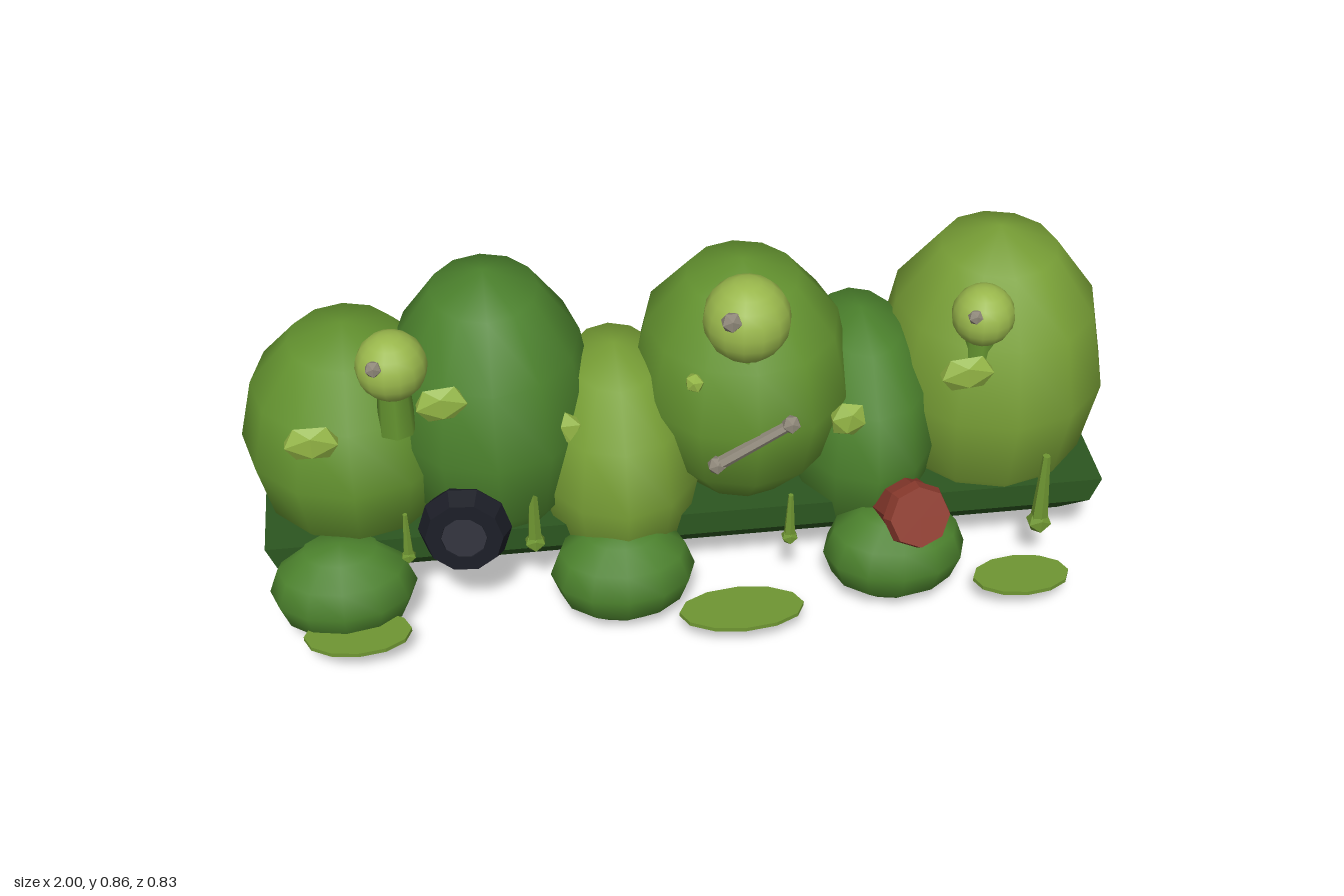
import * as THREE from 'three';

const mat = (color, flat = false) => new THREE.MeshStandardMaterial({ color, flatShading: flat, roughness: 0.9 });
const light = mat(0x789f36), mid = mat(0x63922f), dark = mat(0x4c822d), pale = mat(0x9ab84c);
const moss = mat(0x2c5620, true), lump = mat(0x93b545, true), slime = mat(0x6f9632, true);
const rubber = mat(0x1b1d26, true), hub = mat(0x32333d, true), red = mat(0x8c3b2e, true), bone = mat(0x8d8678, true);

export function createModel() {
  const root = new THREE.Group();
  const add = (name, geometry, material, x, y, z, parent = root) => {
    const m = new THREE.Mesh(geometry, material);
    m.name = name;
    m.position.set(x, y, z);
    parent.add(m);
    return m;
  };
  const blob = (name, material, [x, y, z], [rx, ry, rz]) =>
    add(name, new THREE.SphereGeometry(1, 12, 6), material, x, y, z).scale.set(rx, ry, rz);

  // Row of large body lobes
  [
    [mid, [-0.75, 0.38, -0.05], [0.25, 0.285, 0.27]],
    [dark, [-0.435, 0.45, -0.015], [0.24, 0.35, 0.275]],
    [light, [-0.155, 0.315, 0.02], [0.2, 0.29, 0.27]],
    [mid, [0.133, 0.5, 0.015], [0.252, 0.3, 0.275]],
    [dark, [0.415, 0.325, -0.03], [0.185, 0.29, 0.28]],
    [light, [0.73, 0.43, -0.05], [0.266, 0.365, 0.284]],
  ].forEach(([m, p, s]) => blob('bodyLobe', m, p, s));

  // Feet, staggered front and back
  [[-0.795, 0.205], [-0.165, 0.23], [0.462, 0.235]].forEach(([x, z]) =>
    blob('frontFoot', dark, [x, 0.125, z], [0.165, 0.122, 0.125]));
  [[-0.485, -0.26], [0.15, -0.245], [0.78, -0.26]].forEach(([x, z]) =>
    blob('backFoot', light, [x, 0.123, z], [0.165, 0.123, 0.125]));

  // Chamfered underside beam, with ends slanting inward at the bottom
  const section = new THREE.Shape([
    [0.18, 0.225], [0.18, 0.165], [0.08, 0.067], [-0.11, 0.067], [-0.15, 0.165], [-0.15, 0.225],
  ].map(([z, y]) => new THREE.Vector2(-z, y)));
  const beam = new THREE.ExtrudeGeometry(section, { depth: 1.88, bevelEnabled: false });
  beam.translate(0, 0, -0.94).rotateY(Math.PI / 2);
  const p = beam.attributes.position;
  for (let i = 0; i < p.count; i++) {
    const x = p.getX(i);
    p.setX(i, x + Math.sign(x) * (p.getY(i) - 0.17) * 0.4);
  }
  beam.computeVertexNormals();
  add('underside', beam, moss, 0, 0, 0);

  // Flat puddles on both sides
  [
    [-0.77, 0.315, 0.12, 0.07], [0.092, 0.345, 0.142, 0.07], [0.747, 0.315, 0.112, 0.065],
    [-0.31, -0.348, 0.118, 0.068], [0.492, -0.348, 0.112, 0.066],
  ].forEach(([x, z, rx, rz]) =>
    add('puddle', new THREE.CylinderGeometry(1, 1, 0.01, 12), slime, x, 0.072, z).scale.set(rx, 1, rz));

  // Round heads on short necks, each with a small bump
  [[-0.645, 0.685, 0.155, 0.078], [0.115, 0.765, 0.195, 0.096], [0.645, 0.702, 0.158, 0.07]].forEach(([x, y, z, r]) => {
    add('head', new THREE.SphereGeometry(r, 14, 10), pale, x, y, z);
    add('neck', new THREE.CylinderGeometry(r * 0.45, r * 0.55, 0.14, 7), mid, x, y - r - 0.03, z - 0.01);
    add('headBump', new THREE.IcosahedronGeometry(r * 0.25, 0), bone, x - r * 0.47, y + r * 0.45, z + r * 0.76);
  });

  // Faceted lumps on the lobes
  [
    [-0.83, 0.52, 0.19, 0.068, 0], [-0.545, 0.605, 0.2, 0.065, 0.1], [-0.28, 0.48, 0.16, 0.045, 0.5],
    [0.345, 0.48, 0.205, 0.045, -0.2], [0.607, 0.58, 0.205, 0.068, 0.1], [0, 0.62, 0.215, 0.022, 0.4],
  ].forEach(([x, y, z, r, turn]) => {
    const m = add('lump', new THREE.IcosahedronGeometry(1, 0), lump, x, y, z);
    m.scale.set(r, 0.048 * Math.min(1, r / 0.045), 0.024);
    m.rotation.z = turn;
  });

  // Hanging drips: thin taper ending in a bead
  [
    [-0.645, 0.31, 0.19, 0.2, 0.018], [-0.36, 0.4, 0.205, 0.205, 0.025],
    [0.215, 0.31, 0.19, 0.245, 0.02], [0.803, 0.35, 0.16, 0.232, 0.03],
  ].forEach(([x, top, bottom, z, r]) => {
    add('drip', new THREE.CylinderGeometry(r * 0.3, r * 0.7, top - bottom, 6), slime, x, (top + bottom) / 2, z);
    add('dripBead', new THREE.IcosahedronGeometry(r, 0), slime, x, bottom, z);
  });

  // Stuck tyre with a filled hub
  const tyre = new THREE.Group();
  tyre.name = 'tyre';
  tyre.position.set(-0.515, 0.295, 0.245);
  tyre.rotation.set(-0.1, -0.1, 0);
  root.add(tyre);
  add('tyreRing', new THREE.TorusGeometry(0.069, 0.035, 6, 10), rubber, 0, 0, 0, tyre).scale.z = 1.4;
  add('tyreHub', new THREE.CylinderGeometry(0.06, 0.06, 0.08, 8).rotateX(Math.PI / 2), hub, 0, 0, 0, tyre);

  // Rusty can, tipped upward
  const can = new THREE.Group();
  can.name = 'can';
  can.position.set(0.482, 0.255, 0.26);
  can.rotation.set(Math.PI / 2 - 0.42, 0, -0.12);
  root.add(can);
  add('canBody', new THREE.CylinderGeometry(0.068, 0.068, 0.15, 8), red, 0, 0, 0, can);
  add('canRim', new THREE.CylinderGeometry(0.07, 0.078, 0.03, 8), red, 0, 0.07, 0, can);

  // Bone lying across the middle lobe
  const a = new THREE.Vector3(0.04, 0.443, 0.283), b = new THREE.Vector3(0.2, 0.547, 0.294);
  const c = a.clone().lerp(b, 0.5), d = b.clone().sub(a);
  const shaft = add('boneShaft', new THREE.CylinderGeometry(0.012, 0.015, d.length(), 6), bone, c.x, c.y, c.z);
  shaft.quaternion.setFromUnitVectors(new THREE.Vector3(0, 1, 0), d.normalize());
  [a, b].forEach(e => add('boneEnd', new THREE.IcosahedronGeometry(0.022, 0), bone, e.x, e.y, e.z));

  return root;
}
